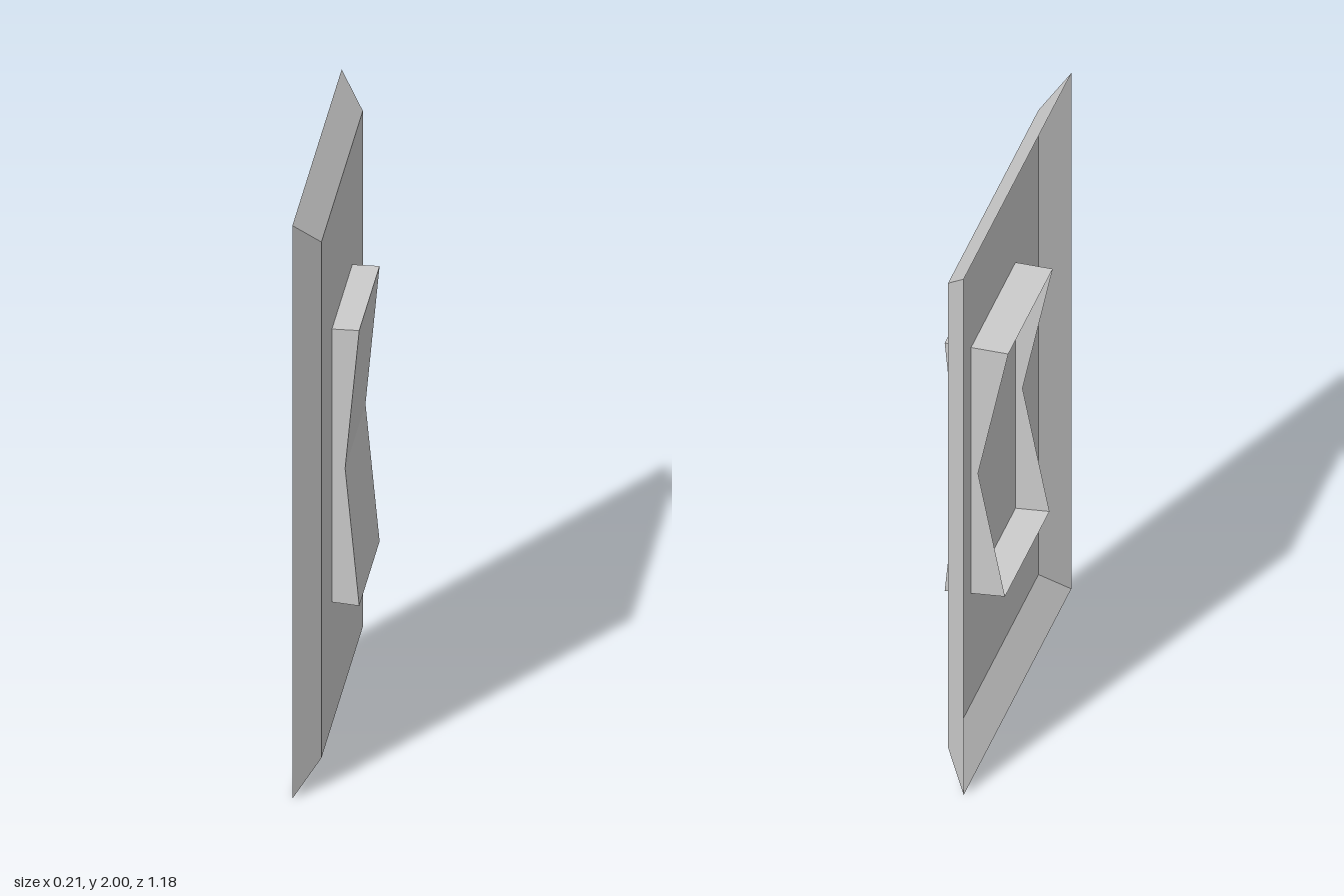
import * as THREE from 'three';

// Flat-shaded mesh from a list of four-cornered faces
function quadMesh(name, quads) {
  const points = quads.flatMap(([a, b, c, d]) => [a, b, c, a, c, d]);
  const geometry = new THREE.BufferGeometry();
  geometry.setAttribute('position', new THREE.Float32BufferAttribute(points.flat(), 3));
  geometry.computeVertexNormals();
  const material = new THREE.MeshStandardMaterial({
    color: 0xcccccc, flatShading: true, side: THREE.DoubleSide,
  });
  const mesh = new THREE.Mesh(geometry, material);
  mesh.name = name;
  return mesh;
}

// Wall plate: flat face with a sloping rim, open at the back
function createPlate() {
  const rect = (x, y0, y1, z) => [[x, y0, z], [x, y0, -z], [x, y1, -z], [x, y1, z]];
  const rim = rect(-0.064, 0, 2, 0.588);
  const face = rect(0.016, 0.103, 1.904, 0.494);
  const quads = [face];
  for (let i = 0; i < 4; i++) {
    const j = (i + 1) % 4;
    quads.push([rim[i], rim[j], face[j], face[i]]);
  }
  return quadMesh('wallPlate', quads);
}

// Rocker: V-shaped button with side walls through the plate, open at the back
function createRocker() {
  const z = 0.243;
  // Back and front [x, y] of the side profile, from bottom to top
  const levels = [
    [[-0.096, 0.541], [0.103, 0.523]],
    [[-0.007, 1.0], [0.058, 1.0]],
    [[-0.107, 1.484], [0.103, 1.484]],
  ].map(([back, front]) => [[...back, -z], [...front, -z], [...front, z], [...back, z]]);

  const [bottom, , top] = levels;
  const quads = [bottom, [...top].reverse()];
  for (let k = 0; k < 2; k++) {
    const a = levels[k], b = levels[k + 1];
    for (let i = 0; i < 3; i++) quads.push([a[i], b[i], b[i + 1], a[i + 1]]);
  }
  return quadMesh('rocker', quads);
}

export function createModel() {
  const model = new THREE.Group();
  model.name = 'lightSwitch';
  model.add(createPlate(), createRocker());
  return model;
}
